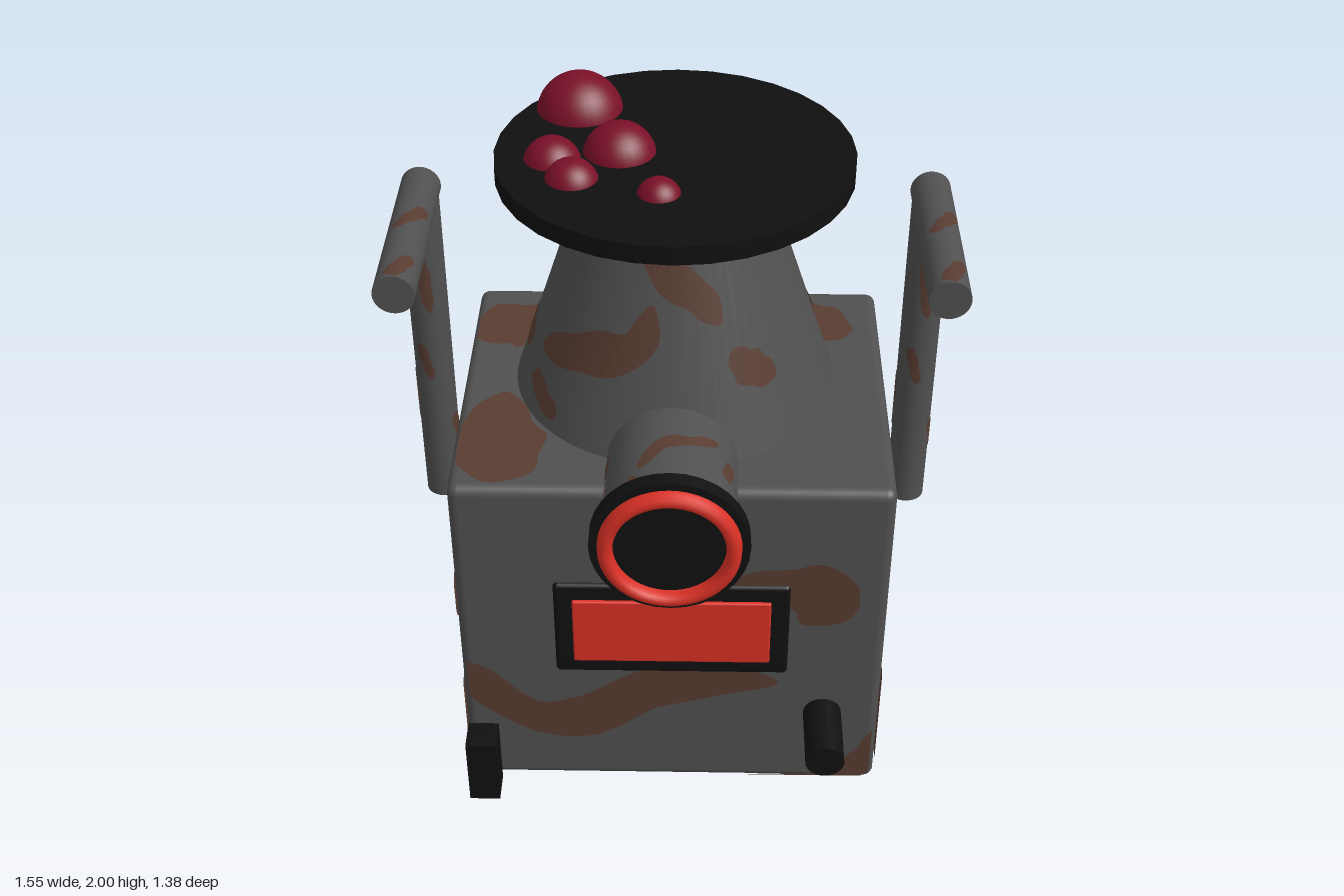
import * as THREE from 'three';
import { RoundedBoxGeometry } from 'three/addons/geometries/RoundedBoxGeometry.js';

const mat = (name, color) => {
  const m = new THREE.MeshStandardMaterial({ color });
  m.name = name;
  return m;
};

export function createModel() {
  const model = new THREE.Group();
  model.name = 'rustyFurnace';
  const iron = mat('grey iron', 0x505050);
  const rust = mat('brown rust', 0x583c31);
  const black = mat('black iron', 0x101010);
  const red = mat('glowing red', 0xd93025);
  const berry = mat('dark red', 0x7a1028);
  rust.side = THREE.DoubleSide;

  const add = (name, geo, material, x = 0, y = 0, z = 0, rx = 0) => {
    const m = new THREE.Mesh(geo, material);
    m.name = name;
    m.position.set(x, y, z);
    m.rotation.x = rx;
    model.add(m);
    return m;
  };
  const box = (w, h, d, r) => new RoundedBoxGeometry(w, h, d, 3, r);
  const cyl = (rt, rb, h, n = 32) => new THREE.CylinderGeometry(rt, rb, h, n);
  const H = Math.PI / 2;

  // Rust patch: a soft-ended ribbon along [u, v, halfWidth] points, laid on a surface
  const patch = (name, surface, pts) => {
    const curve = new THREE.CatmullRomCurve3(pts.map(p => new THREE.Vector3(...p)));
    const rows = 28, cols = 6, pos = [], idx = [];
    for (let i = 0; i <= rows; i++) {
      const t = (1 - Math.cos((Math.PI * i) / rows)) / 2;
      const p = curve.getPoint(t), d = curve.getTangent(t);
      const len = Math.hypot(d.x, d.y) || 1;
      const w = p.z * Math.sqrt(Math.max(0, 1 - (2 * t - 1) ** 4)) * (1 + 0.1 * Math.sin(t * 17));
      for (let j = 0; j <= cols; j++) {
        const s = w * ((2 * j) / cols - 1);
        pos.push(...surface(p.x - (d.y / len) * s, p.y + (d.x / len) * s));
        if (i < rows && j < cols) {
          const a = i * (cols + 1) + j, b = a + cols + 1;
          idx.push(a, a + 1, b, b, a + 1, b + 1);
        }
      }
    }
    const g = new THREE.BufferGeometry();
    g.setAttribute('position', new THREE.Float32BufferAttribute(pos, 3));
    g.setIndex(idx);
    const flat = g.toNonIndexed();
    flat.computeVertexNormals();
    add(name, flat, rust);
  };

  // Body
  add('body', box(1.26, 1.15, 1.035, 0.03), iron, 0, 0.575, -0.1275);
  const lim = (v, a, b) => Math.min(b, Math.max(a, v));
  const X = v => lim(v, -0.615, 0.615), Y = v => lim(v, 0.015, 1.135), Z = v => lim(v, -0.63, 0.375);
  const faces = {
    front: [(u, v) => [X(u), Y(v), 0.393], [
      [[-0.63, 0.48, 0.08], [-0.54, 0.36, 0.07], [-0.4, 0.26, 0.07], [-0.25, 0.27, 0.08], [-0.08, 0.38, 0.09], [0.1, 0.43, 0.08], [0.32, 0.42, 0.06]],
      [[0.18, 0.82, 0.04], [0.35, 0.8, 0.08], [0.46, 0.77, 0.1], [0.38, 0.66, 0.06]],
      [[0.64, 0.23, 0.03], [0.6, 0.1, 0.05], [0.5, 0.01, 0.03], [0.2, 0.005, 0.02]]]],
    left: [(u, v) => [0.633, Y(v), Z(u)], [
      [[-0.3, 1.03, 0.05], [-0.23, 0.9, 0.11], [-0.1, 0.74, 0.13], [0.07, 0.66, 0.13], [0.19, 0.65, 0.09]],
      [[0.39, 0.42, 0.06], [0.28, 0.33, 0.13], [0.3, 0.2, 0.12], [0.38, 0.08, 0.04]],
      [[0.09, 0.03, 0.05], [-0.01, 0.08, 0.08], [-0.12, 0.1, 0.06]],
      [[-0.45, 0.62, 0.04], [-0.55, 0.66, 0.1], [-0.66, 0.7, 0.14]],
      [[-0.33, 0.22, 0.06], [-0.45, 0.23, 0.1], [-0.55, 0.26, 0.12], [-0.63, 0.2, 0.1]]]],
    back: [(u, v) => [X(u), Y(v), -0.648], [
      [[0.64, 0.73, 0.08], [0.5, 0.68, 0.14], [0.4, 0.56, 0.11], [0.3, 0.5, 0.05]],
      [[0.22, 0.53, 0.06], [0.1, 0.49, 0.08], [0.01, 0.44, 0.06]],
      [[-0.09, 0.37, 0.05], [-0.17, 0.31, 0.06], [-0.25, 0.25, 0.05]],
      [[0.63, 0.25, 0.03], [0.6, 0.12, 0.05], [0.58, 0.0, 0.05]],
      [[-0.5, 1.13, 0.04], [-0.59, 1.05, 0.07], [-0.62, 0.85, 0.04]]]],
    right: [(u, v) => [-0.633, Y(v), Z(u)], [
      [[0.4, 0.75, 0.13], [0.1, 0.68, 0.19], [-0.2, 0.58, 0.2], [-0.42, 0.4, 0.15], [-0.35, 0.18, 0.07]],
      [[-0.64, 1.1, 0.07], [-0.59, 0.97, 0.07], [-0.6, 0.83, 0.04]],
      [[0.38, 0.38, 0.06], [0.3, 0.28, 0.08], [0.37, 0.15, 0.05]]]],
    top: [(u, v) => [X(u), 1.153, Z(v)], [
      [[-0.62, -0.36, 0.06], [-0.52, -0.42, 0.12], [-0.36, -0.42, 0.12]],
      [[-0.5, -0.07, 0.05], [-0.51, 0.1, 0.12], [-0.5, 0.24, 0.13], [-0.52, 0.36, 0.08]],
      [[0.36, -0.55, 0.05], [0.45, -0.47, 0.08], [0.5, -0.36, 0.06]]]],
    bottom: [(u, v) => [X(u), -0.003, Z(v)], [
      [[0.25, 0.12, 0.1], [0, -0.1, 0.19], [-0.25, -0.32, 0.1]],
      [[0.6, 0.2, 0.06], [0.5, 0.3, 0.08]]]],
  };
  for (const [name, [surface, list]] of Object.entries(faces))
    list.forEach(p => patch(name + 'Rust', surface, p));

  // Front window
  add('windowFrame', box(0.69, 0.345, 0.04, 0.015), black, 0, 0.637, 0.384);
  add('windowGlow', box(0.58, 0.235, 0.04, 0.006), red, 0, 0.637, 0.395);

  // Tapered chimney and its flat lid
  add('chimney', cyl(0.247, 0.475, 0.69, 64), iron, 0, 1.5, -0.19);
  add('lid', cyl(0.505, 0.505, 0.055, 32), black, 0, 1.868, -0.19);
  const cone = (u, v) => {
    const y = lim(v, 1.16, 1.838), r = 0.478 - 0.33 * (y - 1.155), a = u / 0.36;
    return [r * Math.sin(a), y, -0.19 + r * Math.cos(a)];
  };
  [
    [[-0.42, 1.36, 0.04], [-0.25, 1.42, 0.06], [-0.1, 1.48, 0.05], [-0.06, 1.6, 0.03]],
    [[-0.13, 1.82, 0.03], [-0.04, 1.7, 0.05], [0.08, 1.62, 0.05], [0.14, 1.54, 0.03]],
    [[0.16, 1.46, 0.03], [0.21, 1.4, 0.05], [0.28, 1.35, 0.03]],
    [[-0.42, 1.27, 0.03], [-0.3, 1.2, 0.03]],
    [[0.6, 1.34, 0.03], [0.74, 1.37, 0.03], [0.84, 1.42, 0.05], [0.88, 1.53, 0.03]],
    [[0.58, 1.68, 0.03], [0.66, 1.74, 0.04]],
    [[-1.12, 1.42, 0.03], [-0.98, 1.36, 0.05], [-0.84, 1.44, 0.04], [-0.74, 1.56, 0.04]],
    [[-0.62, 1.36, 0.05], [-0.5, 1.3, 0.04]],
    [[1.0, 1.5, 0.04], [1.1, 1.42, 0.04], [1.2, 1.45, 0.03]],
  ].forEach(p => patch('chimneyRust', cone, p));

  // Spout with flange and glowing ring
  add('spout', cyl(0.183, 0.183, 0.34, 48), iron, 0, 1.175, 0.45, H);
  add('spoutFlange', cyl(0.217, 0.217, 0.045, 32), black, 0, 1.175, 0.6325, H);
  const ring = [[0.152, 0], [0.152, 0.018], [0.158, 0.03], [0.17, 0.036], [0.183, 0.032], [0.192, 0.022], [0.194, 0]];
  add('spoutRing', new THREE.LatheGeometry(ring.map(p => new THREE.Vector2(...p)).reverse(), 48), red, 0, 1.175, 0.654, H);
  const spout = (u, v) => [0.186 * Math.sin(u / 0.183), 1.175 + 0.186 * Math.cos(u / 0.183), lim(v, 0.285, 0.61)];
  [
    [[-0.09, 0.53, 0.02], [-0.02, 0.44, 0.025], [0.06, 0.42, 0.02], [0.14, 0.38, 0.02]],
    [[-0.14, 0.6, 0.02], [-0.09, 0.56, 0.025]],
    [[0.26, 0.58, 0.02], [0.31, 0.55, 0.03]],
    [[0.17, 0.5, 0.02], [0.2, 0.42, 0.025]],
    [[-0.32, 0.46, 0.03], [-0.22, 0.36, 0.03]],
  ].forEach(p => patch('spoutRust', spout, p));

  // Handles: an upright post with a forward grip on each side
  for (const s of [1, -1]) {
    add('handlePost', cyl(0.056, 0.056, 1.035), iron, s * 0.715, 1.2725, -0.125);
    add('handleGrip', cyl(0.056, 0.056, 0.57), iron, s * 0.715, 1.79, 0.105, H);
    const post = (u, v) => [s * 0.715 + 0.058 * Math.sin(u / 0.056), v, -0.125 + 0.058 * Math.cos(u / 0.056)];
    const grip = (u, v) => [s * 0.715 + 0.058 * Math.sin(u / 0.056), 1.79 + 0.058 * Math.cos(u / 0.056), v];
    [
      [[-0.01, 1.64, 0.015], [0, 1.55, 0.02], [0.01, 1.43, 0.015]],
      [[-0.03, 1.32, 0.015], [0, 1.2, 0.015]],
      [[0.06, 1.05, 0.015], [0.09, 0.94, 0.025]],
      [[0.15, 1.6, 0.02], [0.17, 1.45, 0.02]],
      [[-0.09, 1.2, 0.02], [-0.11, 1.0, 0.025]],
    ].forEach(p => patch('postRust', post, p));
    [
      [[-0.03, 0.14, 0.02], [0.01, 0.09, 0.02], [0.05, 0.03, 0.025]],
      [[-0.01, 0.38, 0.025], [0.04, 0.28, 0.02]],
      [[0.14, 0.25, 0.02], [0.17, 0.1, 0.025]],
    ].forEach(p => patch('gripRust', grip, p));
  }

  // Knob and small foot on the front
  add('knob', cyl(0.058, 0.058, 0.21, 24), black, 0.458, 0.292, 0.49, H);
  add('foot', new THREE.BoxGeometry(0.093, 0.235, 0.095), black, -0.578, 0.1175, 0.447);

  // Round berries sunk into the lid
  [[-0.28, -0.45, 0.127], [-0.155, -0.195, 0.105], [-0.34, -0.15, 0.083], [-0.28, -0.04, 0.077], [-0.04, 0.035, 0.064]]
    .forEach(([x, z, r]) => add('berry', new THREE.SphereGeometry(r, 28, 18), berry, x, 1.873, z));

  return model;
}
